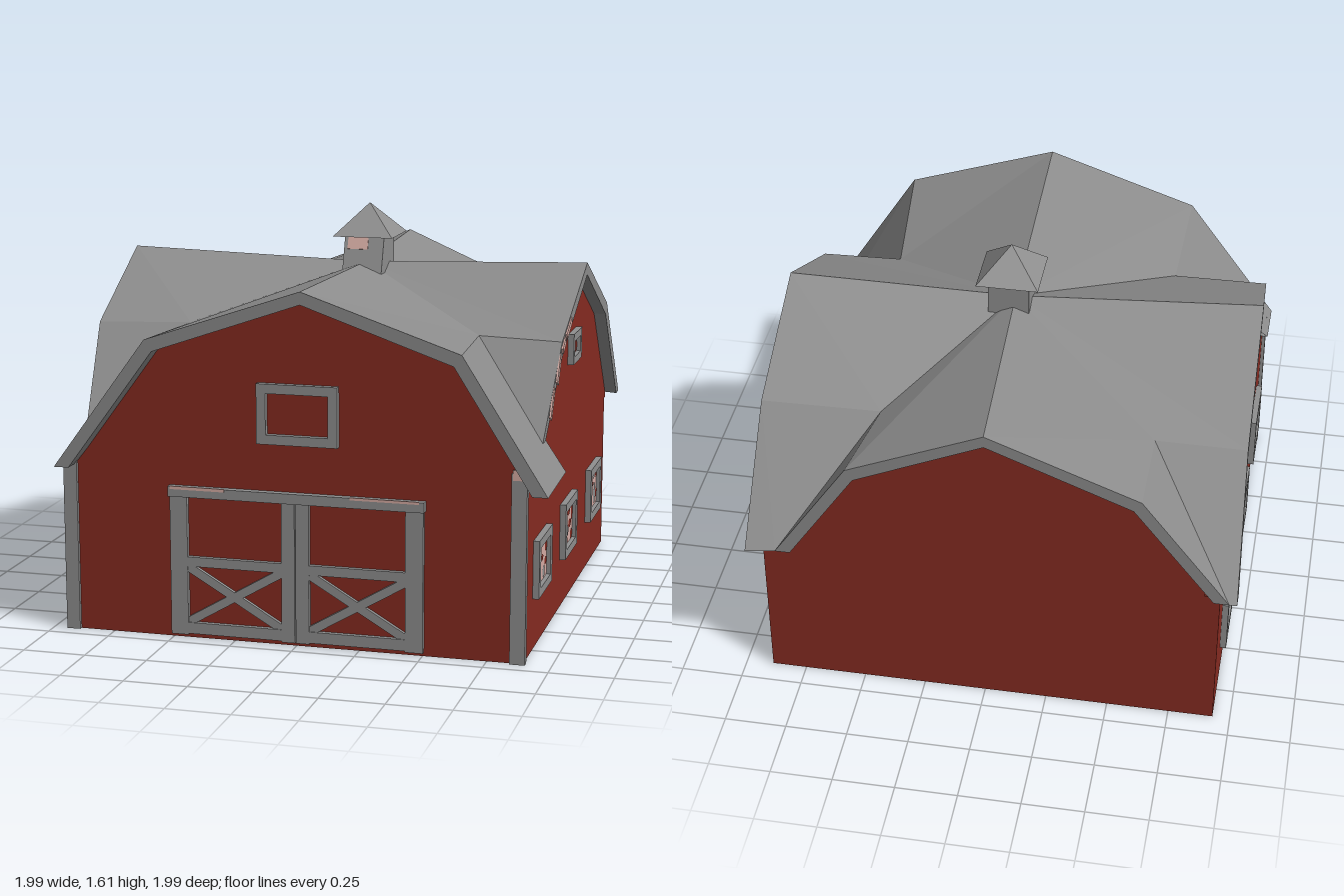
import * as THREE from 'three';

const mat = (name, color, extra = {}) => {
  const m = new THREE.MeshStandardMaterial({ color, flatShading: true, ...extra });
  m.name = name;
  return m;
};

export function createModel() {
  const red = mat('barnRed', 0x862b21);
  const brown = mat('floorBrown', 0x643029);
  const grey = mat('trimGrey', 0x8f8f8f);
  const roofGrey = mat('roofGrey', 0x8c8c8c, { side: THREE.DoubleSide });
  const pink = mat('palePink', 0xd6aca4);

  const barn = new THREE.Group();
  barn.name = 'barn';
  const add = (name, geo, material, parent = barn) => {
    const mesh = new THREE.Mesh(geo, material);
    mesh.name = name;
    parent.add(mesh);
    return mesh;
  };
  const box = (name, material, x0, x1, y0, y1, z0, z1, parent = barn) => {
    const b = add(name, new THREE.BoxGeometry(x1 - x0, y1 - y0, z1 - z0), material, parent);
    b.position.set((x0 + x1) / 2, (y0 + y1) / 2, (z0 + z1) / 2);
    return b;
  };

  // Lower walls, with a brown underside
  box('walls', [red, red, red, brown, red, red], -0.93, 0.89, 0, 0.68, -0.905, 0.925);

  // Gable walls: profile in (u, y), extruded outwards up to the wall face
  const gable = (name, pts, angle, face) => {
    const shape = new THREE.Shape(pts.map(p => new THREE.Vector2(...p)));
    const geo = new THREE.ExtrudeGeometry(shape, { depth: 0.06, bevelEnabled: false });
    geo.translate(0, 0, face - 0.06);
    geo.rotateY(angle);
    add(name, geo, red);
  };
  gable('frontGable', [[-0.91, 0.66], [0.89, 0.66], [0.89, 0.77], [0.645, 1.155], [0.04, 1.365], [-0.565, 1.155], [-0.91, 0.69]], 0, 0.925);
  gable('leftGable', [[-0.58, 0.66], [0.925, 0.66], [0.925, 0.7], [0.595, 1.11], [0.08, 1.35], [-0.41, 1.115], [-0.58, 0.82]], Math.PI / 2, 0.89);
  gable('backGable', [[-0.78, 0.66], [0.92, 0.66], [0.605, 1.105], [0.02, 1.335], [-0.505, 1.105]], Math.PI, 0.905);
  gable('rightGable', [[-0.925, 0.66], [0.78, 0.66], [0.5, 1.12], [0, 1.355], [-0.585, 1.11], [-0.925, 0.7]], -Math.PI / 2, 0.93);

  // Roof: four gambrel wings joined along shared valley points
  const hub = [0.02, 1.365, -0.05];
  const kneeFL = [0.6, 1.16, 0.42], kneeFR = [-0.57, 1.17, 0.48];
  const kneeBL = [0.46, 1.14, -0.6], kneeBR = [-0.62, 1.14, -0.6];
  const eaveFL = [0.9, 0.79, 0.64], eaveFR = [-0.9, 0.74, 0.82];
  const eaveBL = [0.82, 0.69, -0.98], eaveBR = [-0.97, 0.68, -0.98];

  const inset = [0.06, 0.03, 0, 0.03, 0.06], drop = [0, 0.045, 0.05, 0.045, 0];
  const wing = (name, outer, inner, axis) => {
    const lower = pts => pts.map((p, i) => {
      const q = [...p];
      q[axis] -= Math.sign(p[axis]) * inset[i];
      q[1] -= drop[i];
      return q;
    });
    const lo = lower(outer), li = lower(inner), pos = [];
    const quad = (a, b, c, d) => pos.push(...a, ...b, ...c, ...a, ...c, ...d);
    for (let i = 0; i < 4; i++) {
      quad(outer[i], outer[i + 1], inner[i + 1], inner[i]);
      quad(outer[i], lo[i], lo[i + 1], outer[i + 1]);
      quad(lo[i], li[i], li[i + 1], lo[i + 1]);
    }
    quad(outer[0], inner[0], li[0], lo[0]);
    quad(outer[4], lo[4], li[4], inner[4]);
    const geo = new THREE.BufferGeometry();
    geo.setAttribute('position', new THREE.Float32BufferAttribute(pos, 3));
    geo.computeVertexNormals();
    add(name, geo, roofGrey);
  };
  wing('frontRoof',
    [[-0.96, 0.67, 1], [-0.58, 1.19, 1], [0.04, 1.4, 1], [0.66, 1.19, 1], [0.99, 0.67, 1]],
    [[-0.96, 0.67, 0.8], kneeFR, hub, kneeFL, [0.98, 0.67, 0.57]], 0);
  wing('leftRoof',
    [eaveFL, [0.93, 1.15, 0.42], [0.94, 1.39, -0.08], [0.94, 1.14, -0.61], [0.94, 0.68, -0.99]],
    [eaveFL, kneeFL, hub, kneeBL, eaveBL], 2);
  wing('backRoof',
    [eaveBL, [0.52, 1.14, -0.98], [-0.02, 1.375, -0.98], [-0.62, 1.14, -0.98], eaveBR],
    [eaveBL, kneeBL, hub, kneeBR, eaveBR], 0);
  wing('rightRoof',
    [[-1, 0.68, -0.98], [-0.98, 1.14, -0.6], [-0.97, 1.4, 0], [-0.95, 1.16, 0.5], eaveFR],
    [eaveBR, kneeBR, hub, kneeFR, eaveFR], 2);

  // Worn pink paint on the left gable's rake: [z, y, length, width, slope]
  for (const [z, y, len, wid, slope] of [[0.535, 0.93, 0.13, 0.026, 1.03], [0.463, 1.05, 0.12, 0.03, 1.03],
    [0.395, 1.132, 0.07, 0.028, 0.55], [0.3, 1.183, 0.12, 0.026, 0.45]]) {
    const worn = add('wornRake', new THREE.BoxGeometry(0.008, wid, len), pink);
    worn.position.set(0.934 - Math.max(0, 1.15 - y) * 0.083, y, z);
    worn.rotation.x = slope;
  }

  // Cupola: shaft flaring forward at its foot, with a pyramid cap
  const cupola = new THREE.Group();
  cupola.name = 'cupola';
  cupola.position.set(0.035, 0, -0.05);
  barn.add(cupola);
  const shaft = new THREE.BoxGeometry(0.165, 0.2, 0.165);
  const sp = shaft.attributes.position;
  for (let i = 0; i < sp.count; i++)
    if (sp.getY(i) < 0 && sp.getZ(i) > 0) sp.setZ(i, 0.15);
  shaft.translate(0, 1.39, 0);
  add('cupolaShaft', shaft, grey, cupola);
  const cap = new THREE.ConeGeometry(0.125 * Math.SQRT2, 0.13, 4);
  cap.rotateY(Math.PI / 4);
  cap.translate(0, 1.545, 0);
  add('cupolaCap', cap, grey, cupola);
  const louvre = add('cupolaLouvre', new THREE.BoxGeometry(0.085, 0.05, 0.006), pink, cupola);
  louvre.position.set(-0.025, 1.452, 0.096);
  louvre.rotation.x = -0.325;

  // Rectangular frame with an open middle, facing +z
  const frame = (w, h, t, depth) => {
    const rect = (P, a, b) => new P([[-a, -b], [a, -b], [a, b], [-a, b]].map(p => new THREE.Vector2(...p)));
    const shape = rect(THREE.Shape, w / 2, h / 2);
    shape.holes.push(rect(THREE.Path, w / 2 - t, h / 2 - t));
    return new THREE.ExtrudeGeometry(shape, { depth, bevelEnabled: false });
  };

  // Front trim: corner boards, loft window, double doors
  box('cornerBoard', grey, -0.945, -0.89, 0, 0.69, 0.91, 0.94);
  box('cornerBoard', grey, 0.84, 0.9, 0, 0.74, 0.91, 0.94);
  box('wornCorner', pink, 0.845, 0.885, 0.715, 0.755, 0.937, 0.943);
  add('loftWindowFrame', frame(0.32, 0.235, 0.037, 0.025), grey).position.set(0.01, 0.915, 0.925);

  const doors = new THREE.Group();
  doors.name = 'doors';
  barn.add(doors);
  box('doorHeader', grey, -0.51, 0.51, 0.57, 0.61, 0.92, 0.955, doors);
  box('wornHeader', pink, -0.5, -0.28, 0.6, 0.612, 0.951, 0.957, doors);
  box('wornHeader', pink, 0.22, 0.49, 0.602, 0.612, 0.951, 0.957, doors);
  for (const s of [-1, 1]) {
    const bar = (name, a, b, y0, y1) =>
      box(name, grey, Math.min(a * s, b * s), Math.max(a * s, b * s), y0, y1, 0.92, 0.945, doors);
    bar('outerStile', 0.435, 0.505, 0.015, 0.58);
    bar('innerStile', 0.002, 0.055, 0.015, 0.58);
    bar('middleRail', 0.05, 0.45, 0.292, 0.33);
    bar('bottomRail', 0.05, 0.45, 0.02, 0.065);
    for (const d of [-1, 1]) {
      const brace = add('crossBrace', new THREE.BoxGeometry(0.44, 0.034, 0.02), grey, doors);
      brace.position.set(0.246 * s, 0.178, 0.931);
      brace.rotation.z = d * Math.atan2(0.23, 0.39);
    }
  }

  // Side windows with mottled panes. Patches: [u, v, half width, half height] as fractions of the pane
  const mottles = [
    { red: [[-0.38, 0.34, 0.12, 0.15], [0.02, 0.42, 0.16, 0.08], [0.38, 0.3, 0.12, 0.18], [0.36, -0.1, 0.13, 0.1],
      [-0.41, -0.12, 0.09, 0.14], [-0.3, -0.41, 0.18, 0.09], [0.02, 0.08, 0.1, 0.08]], grey: [[0.18, -0.32, 0.12, 0.17]] },
    { red: [[-0.36, 0.34, 0.14, 0.16], [0.06, 0.36, 0.18, 0.14], [0.4, 0.24, 0.1, 0.24], [-0.3, -0.08, 0.15, 0.13],
      [0.18, -0.02, 0.16, 0.12], [-0.2, -0.4, 0.2, 0.1], [0.36, -0.36, 0.13, 0.14]], grey: [[-0.03, -0.16, 0.1, 0.14]] },
    { red: [[-0.32, 0.38, 0.18, 0.11], [0.4, 0.36, 0.1, 0.14], [-0.38, 0.02, 0.12, 0.09], [-0.05, 0.14, 0.14, 0.07],
      [-0.28, -0.38, 0.2, 0.1], [0.42, -0.2, 0.08, 0.16]], grey: [[0.2, -0.16, 0.13, 0.32], [0.12, 0.36, 0.12, 0.1]] },
    { red: [[-0.1, 0.12, 0.32, 0.36], [0.28, -0.1, 0.22, 0.38], [-0.3, -0.26, 0.16, 0.22]], grey: [[0.36, 0.4, 0.13, 0.09]] },
  ];
  const sideWindow = (parent, z, y, w, h, t, s, mottle) => {
    const win = new THREE.Group();
    win.name = 'sideWindow';
    win.position.set(-z * s, y, 0);
    parent.add(win);
    add('windowFrame', frame(w, h, t, 0.025), grey, win);
    const pw = w - 2 * t, ph = h - 2 * t;
    add('pane', new THREE.BoxGeometry(pw, ph, 0.008), pink, win).position.z = 0.004;
    for (const [key, material] of [['red', red], ['grey', grey]])
      for (const [u, v, a, b] of mottle[key]) {
        const spot = add('panePatch', new THREE.CircleGeometry(1, 8, Math.PI / 8), material, win);
        spot.position.set(u * pw, v * ph, 0.0095);
        spot.scale.set(a * pw, b * ph, 1);
      }
  };
  for (const s of [1, -1]) {
    const side = new THREE.Group();
    side.name = s > 0 ? 'leftWindows' : 'rightWindows';
    side.position.x = s > 0 ? 0.89 : -0.93;
    side.rotation.y = s * Math.PI / 2;
    barn.add(side);
    [0.61, 0.035, -0.58].forEach((z, i) => sideWindow(side, z, 0.32, 0.275, 0.23, 0.035, s, mottles[i]));
    sideWindow(side, s > 0 ? -0.035 : 0, 1.053, 0.19, 0.125, 0.03, s, mottles[3]);
  }

  return barn;
}
